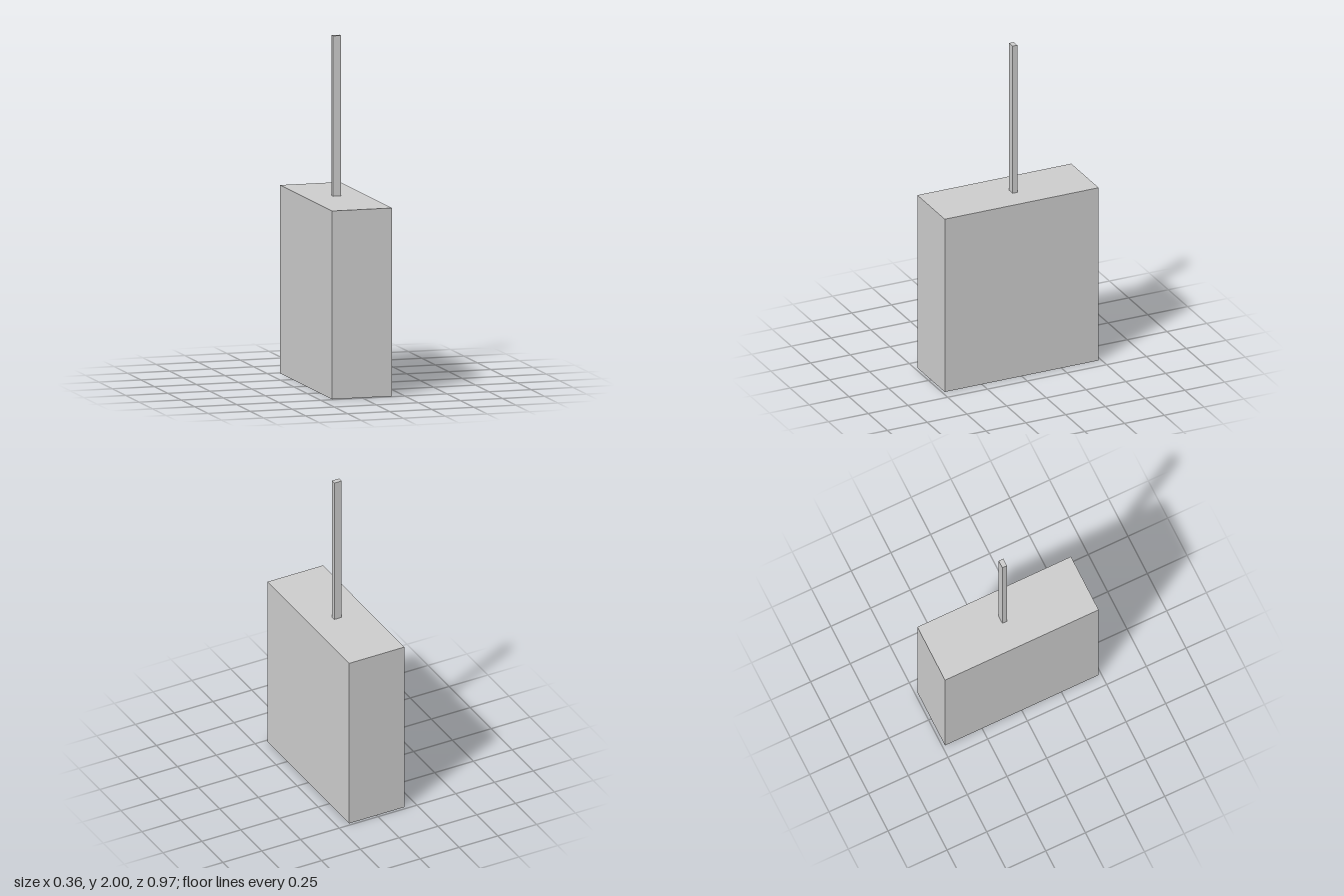
import * as THREE from 'three';

const material = new THREE.MeshStandardMaterial({ color: 0xcccccc });

// Box resting on a given height
function block(name, [width, height, depth], [x, bottom, z]) {
  const mesh = new THREE.Mesh(new THREE.BoxGeometry(width, height, depth), material);
  mesh.name = name;
  mesh.position.set(x, bottom + height / 2, z);
  return mesh;
}

export function createModel() {
  const model = new THREE.Group();
  model.name = 'blockWithPost';
  const bodyHeight = 1.08;

  // Solid lower body
  model.add(block('body', [0.357, bodyHeight, 0.968], [0, 0, 0]));

  // Thin upright post, slightly off centre
  model.add(block('post', [0.047, 2 - bodyHeight, 0.029], [0.0105, bodyHeight, -0.0275]));

  return model;
}
